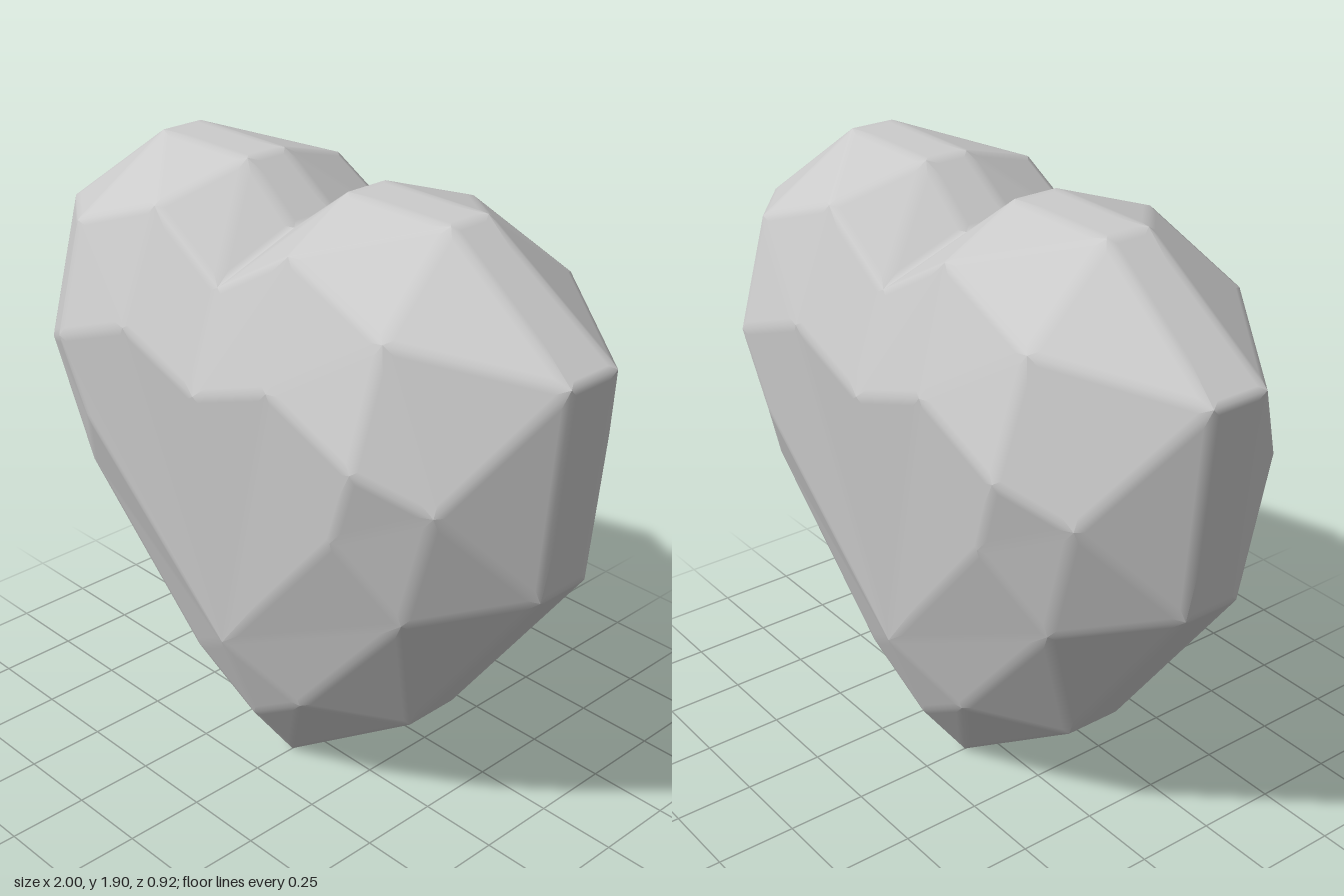
import * as THREE from 'three';

// Right-half profiles from the cleft round to the tip: [x, y, z]
const rim = [[0, 1.75, 0.08], [0.2, 1.9, 0.07], [0.57, 1.9, 0.07], [1, 1.6, 0.09], [0.95, 0.97, 0.09], [0.5, 0.35, 0.09], [0, 0, 0.1]];
const shoulder = [[0, 1.65, 0.36], [0.27, 1.81, 0.35], [0.62, 1.68, 0.36], [0.8, 1.26, 0.35], [0.67, 0.87, 0.32], [0.23, 0.37, 0.28], [0, 0.22, 0.26]];
const panel = [[0, 1.36, 0.46], [0.3, 1.47, 0.46], [0.61, 1.35, 0.46], [0.52, 1.11, 0.44], [0, 0.53, 0.38], [0, 0.53, 0.38], [0, 0.53, 0.38]];

const SOFT = 0.02; // width of the softened shading along each facet edge

const faceNormal = ([a, b, c]) => b.clone().sub(a).cross(c.clone().sub(a));

// Triangles of all facets
function buildFacets() {
  const facets = [];
  const triangle = (...t) => {
    const n = faceNormal(t);
    if (n.length() > 1e-6) facets.push({ t, n: n.normalize() });
  };
  // Split a quad along the diagonal that stands further out
  const quad = (a, b, c, d) => {
    const n = c.clone().sub(a).cross(d.clone().sub(b));
    const across = a.clone().add(c).sub(b).sub(d);
    if (across.dot(n) >= 0) { triangle(a, b, c); triangle(a, c, d); }
    else { triangle(a, b, d); triangle(b, c, d); }
  };

  for (const sx of [1, -1]) {
    const place = (p, sz) => new THREE.Vector3(p[0] * sx, p[1], p[2] * sz);
    for (const sz of [1, -1]) {
      const flip = sx * sz < 0;
      const add = (...pts) => {
        const v = pts.map((p) => place(p, sz));
        if (flip) v.reverse();
        (v.length === 4 ? quad : triangle)(...v);
      };
      for (let i = 0; i < 6; i++) {
        add(rim[i], shoulder[i], shoulder[i + 1], rim[i + 1]);
        // Where the panel narrows to its tip the band closes with triangles
        if (i < 4) add(shoulder[i], panel[i], panel[i + 1], shoulder[i + 1]);
        else add(shoulder[i], panel[4], shoulder[i + 1]);
        if (i < 3) add(panel[4], panel[i + 1], panel[i]);
      }
    }
    // Band between the front and back rims
    for (let i = 0; i < 6; i++) {
      const v = [place(rim[i], 1), place(rim[i + 1], 1), place(rim[i + 1], -1), place(rim[i], -1)];
      if (sx < 0) v.reverse();
      quad(...v);
    }
  }
  return facets;
}

// Flat facet centres, with normals blending across each shared edge
function softFacetGeometry(facets) {
  const key = (v) => v.toArray().map((n) => Math.round(n * 1000) || 0).join();
  const edgeKey = (a, b) => [key(a), key(b)].sort().join('|');
  const edgeNormals = new Map();
  for (const { t, n } of facets) {
    for (let i = 0; i < 3; i++) {
      const k = edgeKey(t[i], t[(i + 1) % 3]);
      if (!edgeNormals.has(k)) edgeNormals.set(k, new THREE.Vector3());
      edgeNormals.get(k).add(n);
    }
  }

  const positions = [], normals = [];
  const put = (p, n) => { positions.push(...p.toArray()); normals.push(...n.toArray()); };
  for (const { t, n } of facets) {
    // Inset by a constant width towards the incentre
    const len = t.map((_, i) => t[(i + 1) % 3].distanceTo(t[(i + 2) % 3]));
    const perimeter = len[0] + len[1] + len[2];
    const centre = new THREE.Vector3();
    t.forEach((p, i) => centre.addScaledVector(p, len[i] / perimeter));
    const radius = faceNormal(t).length() / perimeter;
    const inner = t.map((p) => p.clone().lerp(centre, Math.min(0.4, SOFT / radius)));
    inner.forEach((p) => put(p, n));
    for (let i = 0; i < 3; i++) {
      const j = (i + 1) % 3;
      const e = edgeNormals.get(edgeKey(t[i], t[j])).clone().normalize();
      put(t[i], e); put(t[j], e); put(inner[j], n);
      put(t[i], e); put(inner[j], n); put(inner[i], n);
    }
  }
  const geometry = new THREE.BufferGeometry();
  geometry.setAttribute('position', new THREE.Float32BufferAttribute(positions, 3));
  geometry.setAttribute('normal', new THREE.Float32BufferAttribute(normals, 3));
  return geometry;
}

export function createModel() {
  const group = new THREE.Group();
  group.name = 'facetedHeart';
  const heart = new THREE.Mesh(
    softFacetGeometry(buildFacets()),
    new THREE.MeshStandardMaterial({ color: 0xcccccc })
  );
  heart.name = 'heartBody';
  group.add(heart);
  return group;
}
